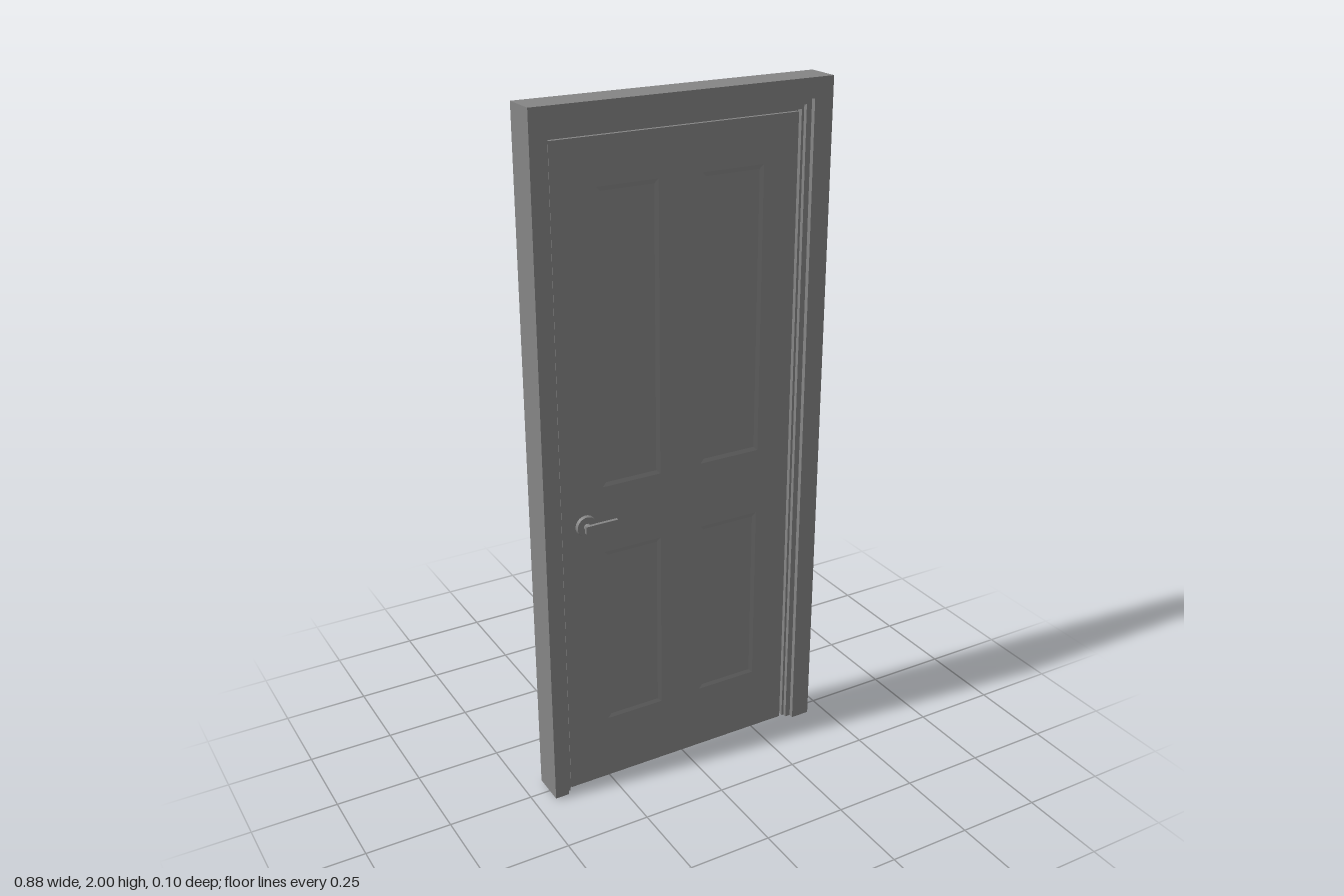
import * as THREE from 'three';

const material = new THREE.MeshStandardMaterial({ color: 0x858585, flatShading: true });
const smooth = new THREE.MeshStandardMaterial({ color: 0x858585 });

function add(parent, name, geometry, mat = material) {
  const mesh = new THREE.Mesh(geometry, mat);
  mesh.name = name;
  parent.add(mesh);
  return mesh;
}

function rectPoints(x0, y0, x1, y1) {
  return [[x0, y0], [x1, y0], [x1, y1], [x0, y1]].map(([x, y]) => new THREE.Vector2(x, y));
}

function extrude(shape, z0, z1) {
  const geo = new THREE.ExtrudeGeometry(shape, { depth: z1 - z0, bevelEnabled: false });
  return geo.translate(0, 0, z0);
}

// Two uprights and a head, as one outline open at the floor
function portal(outer, inner, halfDepth) {
  const [l, r, t] = outer, [il, ir, it] = inner, y = 0.006;
  const pts = [[l, y], [il, y], [il, it], [ir, it], [ir, y], [r, y], [r, t], [l, t]];
  return extrude(new THREE.Shape(pts.map(([a, b]) => new THREE.Vector2(a, b))), -halfDepth, halfDepth);
}

// Shallow sunk panel: a sloped border around a flat field
function panelGeometry([x0, y0, x1, y1]) {
  const pos = [], index = [];
  for (const [inset, z] of [[0, 0], [0.012, -0.0018]]) {
    for (const p of rectPoints(x0 + inset, y0 + inset, x1 - inset, y1 - inset)) pos.push(p.x, p.y, z);
  }
  for (let i = 0; i < 4; i++) {
    const b = (i + 1) % 4;
    index.push(i, b, b + 4, i, b + 4, i + 4);
  }
  index.push(4, 5, 6, 4, 6, 7);
  const geo = new THREE.BufferGeometry();
  geo.setAttribute('position', new THREE.Float32BufferAttribute(pos, 3));
  geo.setIndex(index);
  const flat = geo.toNonIndexed();
  flat.computeVertexNormals();
  return flat;
}

// Lever handle that stands out along +z from the door face
function leverHandle() {
  const handle = new THREE.Group();
  const rose = add(handle, 'rosette', new THREE.CylinderGeometry(0.029, 0.031, 0.01, 32), smooth);
  rose.rotation.x = Math.PI / 2;
  rose.position.z = 0.005;
  const neck = add(handle, 'neck', new THREE.CylinderGeometry(0.01, 0.01, 0.024, 20), smooth);
  neck.rotation.x = Math.PI / 2;
  neck.position.z = 0.014;
  const lever = add(handle, 'lever', new THREE.BoxGeometry(0.098, 0.022, 0.01));
  lever.position.set(0.036, 0, 0.026);
  return handle;
}

export function createModel() {
  const door = new THREE.Group();
  door.name = 'door';

  // Frame stepping in to the leaf, with a narrow reveal around it
  const casing = [-0.40, 0.384, 1.945], stop = [-0.389, 0.368, 1.929];
  const seal = [-0.381, 0.361, 1.915], edge = [-0.377, 0.357, 1.908];
  add(door, 'frame', portal([-0.442, 0.442, 2], casing, 0.05));
  add(door, 'frameStop', portal(casing, stop, 0.036));
  add(door, 'frameSeal', portal(stop, seal, 0.024));
  add(door, 'reveal', portal(seal, edge, 0.006));

  // Door leaf with four panel openings
  const half = 0.017;
  const panels = [];
  for (const [x0, x1] of [[-0.25, -0.07], [0.06, 0.25]]) {
    for (const [y0, y1] of [[0.2, 0.75], [0.95, 1.78]]) panels.push([x0, y0, x1, y1]);
  }
  const leaf = new THREE.Shape(rectPoints(edge[0], 0, edge[1], edge[2]));
  for (const p of panels) leaf.holes.push(new THREE.Path(rectPoints(...p)));
  add(door, 'leaf', extrude(leaf, -half, half));

  // Panels and handles on both faces
  for (const side of [1, -1]) {
    const label = side > 0 ? 'front' : 'back';
    for (const [x0, y0, x1, y1] of panels) {
      const rect = side > 0 ? [x0, y0, x1, y1] : [-x1, y0, -x0, y1];
      const panel = add(door, label + 'Panel', panelGeometry(rect));
      if (side < 0) panel.rotation.y = Math.PI;
      panel.position.z = side * half;
    }
    const handle = leverHandle();
    handle.name = label + 'Handle';
    handle.scale.z = side;
    handle.position.set(-0.305, 0.847, side * half);
    door.add(handle);
  }
  return door;
}
